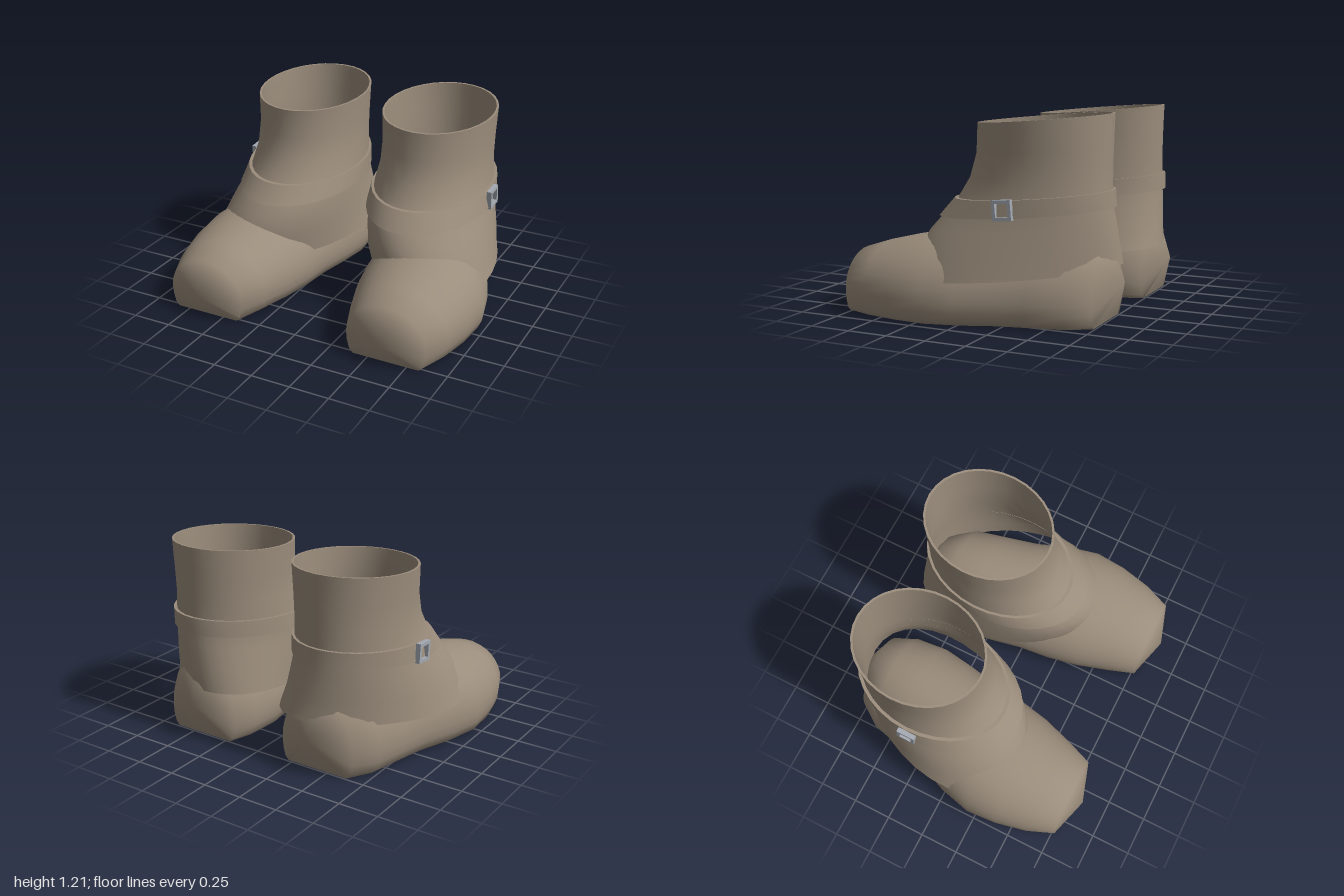
import * as THREE from 'three';
import { toCreasedNormals } from 'three/addons/utils/BufferGeometryUtils.js';

const SEG = 32;
const TILT = 0.083; // rings of the shaft sit higher at the back

// Skin a list of closed rings; side = -1 mirrors the part across x
function loft(rings, side, crease) {
  const pos = [];
  const p = new THREE.Triangle();
  const add = (a, b, c) => {
    p.set(a, b, c);
    if (p.getArea() < 1e-8) return;
    for (const v of side > 0 ? [a, b, c] : [a, c, b]) pos.push(v.x * side, v.y, v.z);
  };
  for (let i = 0; i < rings.length - 1; i++) {
    for (let j = 0; j < SEG; j++) {
      const k = (j + 1) % SEG;
      add(rings[i][j], rings[i][k], rings[i + 1][j]);
      add(rings[i][k], rings[i + 1][k], rings[i + 1][j]);
    }
  }
  const geo = new THREE.BufferGeometry();
  geo.setAttribute('position', new THREE.Float32BufferAttribute(pos, 3));
  return toCreasedNormals(geo, crease);
}

const ringOf = (fn) => Array.from({ length: SEG }, (_, j) => {
  const t = (j / SEG) * Math.PI * 2;
  return fn(Math.cos(t), Math.sin(t));
});

// Tilted oval: height, x range, z range, and a forward-outward skew
function oval([y, x0, x1, z0, z1, skew = 0], shrink = 0) {
  const cx = (x0 + x1) / 2, rx = (x1 - x0) / 2 - shrink;
  const cz = (z0 + z1) / 2, rz = (z1 - z0) / 2 - shrink;
  return ringOf((c, s) => {
    const z = cz + rz * s;
    return new THREE.Vector3(cx + rx * c + skew * s, y - TILT * (z + 0.36), z);
  });
}

// Foot section: flat underneath, domed on top
function footSection([z, x0, x1, h]) {
  const mid = 0.14;
  return ringOf((c, s) => new THREE.Vector3(
    (x0 + x1) / 2 + ((x1 - x0) / 2) * c,
    Math.max(0, mid + s * (s > 0 ? h - mid : 0.3)),
    z
  ));
}

const tip = (x, y, z) => ringOf(() => new THREE.Vector3(x, y, z));

const FOOT = [
  [-0.74, 0.18, 0.67, 0.47],
  [-0.6, 0.12, 0.77, 0.52],
  [-0.4, 0.10, 0.82, 0.53],
  [-0.2, 0.13, 0.87, 0.53],
  [0, 0.17, 0.95, 0.52],
  [0.2, 0.19, 1.0, 0.5],
  [0.4, 0.23, 0.985, 0.465],
  [0.6, 0.295, 0.94, 0.415],
  [0.77, 0.36, 0.87, 0.36],
];

const SHAFT = [
  [1.18, 0.09, 0.80, -0.77, 0.05],
  [1.0, 0.10, 0.79, -0.765, 0.06],
  [0.86, 0.10, 0.79, -0.763, 0.105],
  [0.74, 0.085, 0.81, -0.763, 0.185],
  [0.65, 0.08, 0.83, -0.768, 0.27, 0.01],
  [0.56, 0.075, 0.86, -0.778, 0.345, 0.04],
  [0.42, 0.07, 0.90, -0.79, 0.40, 0.09],
];

export function createModel() {
  const leather = new THREE.MeshStandardMaterial({ color: 0x9b8d7c, side: THREE.DoubleSide });
  leather.name = 'taupeLeather';
  const metal = new THREE.MeshStandardMaterial({ color: 0xa3a9b1 });
  metal.name = 'greyMetal';

  const model = new THREE.Group();
  model.name = 'ankleBoots';

  for (const side of [1, -1]) {
    const boot = new THREE.Group();
    boot.name = side > 0 ? 'leftBoot' : 'rightBoot';
    const part = (name, geo, mat) => {
      const mesh = new THREE.Mesh(geo, mat);
      mesh.name = name;
      boot.add(mesh);
      return mesh;
    };

    // Foot with pointed toe and heel
    const sections = [tip(0.42, 0.24, -0.85), ...FOOT.map(footSection), tip(0.615, 0.15, 0.85)];
    part('foot', loft(sections, side, 1.05), leather);

    // Open shaft flaring into a skirt over the foot, with a thin rim and inner wall
    const hem = side > 0
      ? [0.29, 0.08, 0.925, -0.80, 0.41, 0.14]
      : [0.29, 0.06, 0.925, -0.81, 0.41, 0.14];
    const outer = [...SHAFT, hem].map((r) => oval(r));
    const inner = SHAFT.slice(0, 6).map((r) => oval(r, 0.014)).reverse();
    part('shaft', loft([...inner, ...outer], side, 0.8), leather);

    // Ankle strap
    const top = [0.742, 0.07, 0.83, -0.782, 0.205];
    const bottom = [0.64, 0.062, 0.847, -0.787, 0.302, 0.01];
    const strap = [oval(top, 0.03), oval(top), oval(bottom), oval(bottom, 0.03)];
    part('strap', loft(strap, side, 0.6), leather);

    // Square buckle frame on the outer side
    const frame = new THREE.Shape();
    const square = (r) => [[-r, -r], [r, -r], [r, r], [-r, r]].map(([x, y]) => new THREE.Vector2(x, y));
    frame.setFromPoints(square(0.059));
    frame.holes.push(new THREE.Path(square(0.039).reverse()));
    const geo = new THREE.ExtrudeGeometry(frame, { depth: 0.03, bevelEnabled: false });
    geo.translate(0, 0, -0.015);
    geo.rotateZ(side * TILT);
    geo.rotateY((side * Math.PI) / 2);
    part('buckle', geo, metal).position.set(side * 0.848, 0.682, -0.272);

    model.add(boot);
  }
  return model;
}
